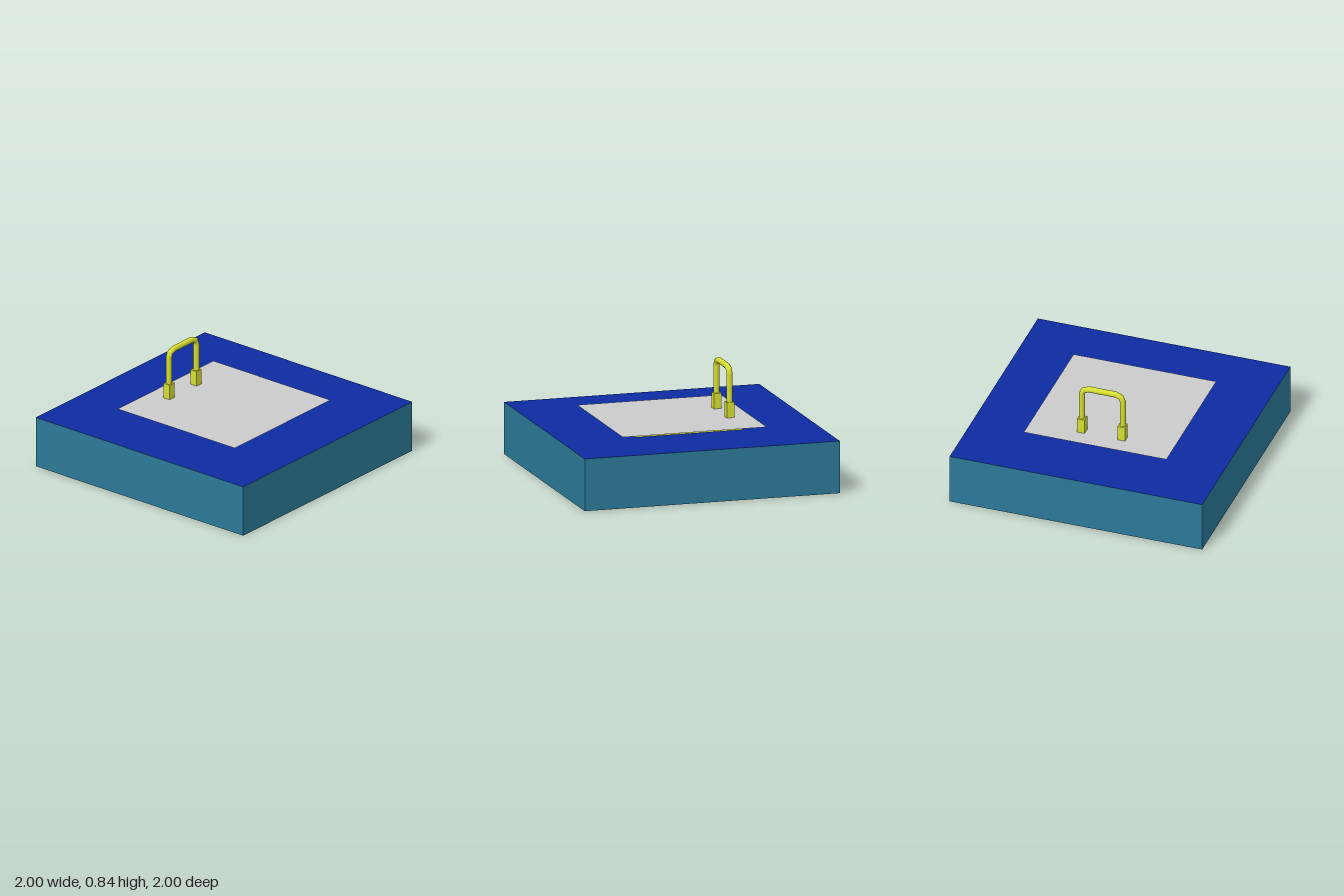
import * as THREE from 'three';

const teal = new THREE.MeshStandardMaterial({ color: 0x2c7a99 });
const blue = new THREE.MeshStandardMaterial({ color: 0x0e2aa1 });
const yellow = new THREE.MeshStandardMaterial({ color: 0xd6de33 });
const yellowFlat = new THREE.MeshStandardMaterial({ color: 0xd6de33, flatShading: true });
const grey = new THREE.MeshStandardMaterial({ color: 0xcccccc, side: THREE.DoubleSide });

// Curve that places one tube ring at each given point
class RingPath extends THREE.Curve {
  constructor(points) {
    super();
    this.points = points;
  }
  getPointAt(u, target = new THREE.Vector3()) {
    return target.copy(this.points[Math.round(u * (this.points.length - 1))]);
  }
  getTangentAt(u, target = new THREE.Vector3()) {
    const last = this.points.length - 1;
    const i = Math.round(u * last);
    return target
      .subVectors(this.points[Math.min(i + 1, last)], this.points[Math.max(i - 1, 0)])
      .normalize();
  }
}

export function createModel() {
  const model = new THREE.Group();
  model.name = 'hatch';
  const add = (name, geometry, material, x, y, z) => {
    const mesh = new THREE.Mesh(geometry, material);
    mesh.name = name;
    mesh.position.set(x, y, z);
    model.add(mesh);
    return mesh;
  };

  // Base block: teal walls, blue top and bottom
  add('base', new THREE.BoxGeometry(2, 0.4, 2), [teal, teal, blue, blue, teal, teal], 0, 0.2, 0);

  // Bevelled square plinth: a four-sided tapered cylinder
  const plinth = new THREE.CylinderGeometry(0.4 * Math.SQRT2, 0.42 * Math.SQRT2, 0.04, 4);
  plinth.rotateY(Math.PI / 4);
  add('plinth', plinth, yellowFlat, 0, 0.42, 0);

  // Thin sheet overhanging the plinth
  add('lidSheet', new THREE.PlaneGeometry(1.13, 1.13).rotateX(-Math.PI / 2), grey, 0, 0.442, 0);

  // Handle sockets
  for (const side of [-1, 1]) {
    add(side < 0 ? 'rightSocket' : 'leftSocket',
      new THREE.BoxGeometry(0.06, 0.12, 0.06), yellow, side * 0.16, 0.5, -0.4);
  }

  // Bent handle bar, mirrored about x = 0
  const half = [[0.162, 0.5], [0.162, 0.77], [0.15, 0.804], [0.105, 0.822]];
  const points = [
    ...half.map(([x, y]) => new THREE.Vector3(-x, y, 0)),
    ...half.slice().reverse().map(([x, y]) => new THREE.Vector3(x, y, 0)),
  ];
  const bar = new THREE.TubeGeometry(new RingPath(points), points.length - 1, 0.023, 12);
  add('handle', bar, yellow, 0, 0, -0.4);

  return model;
}
